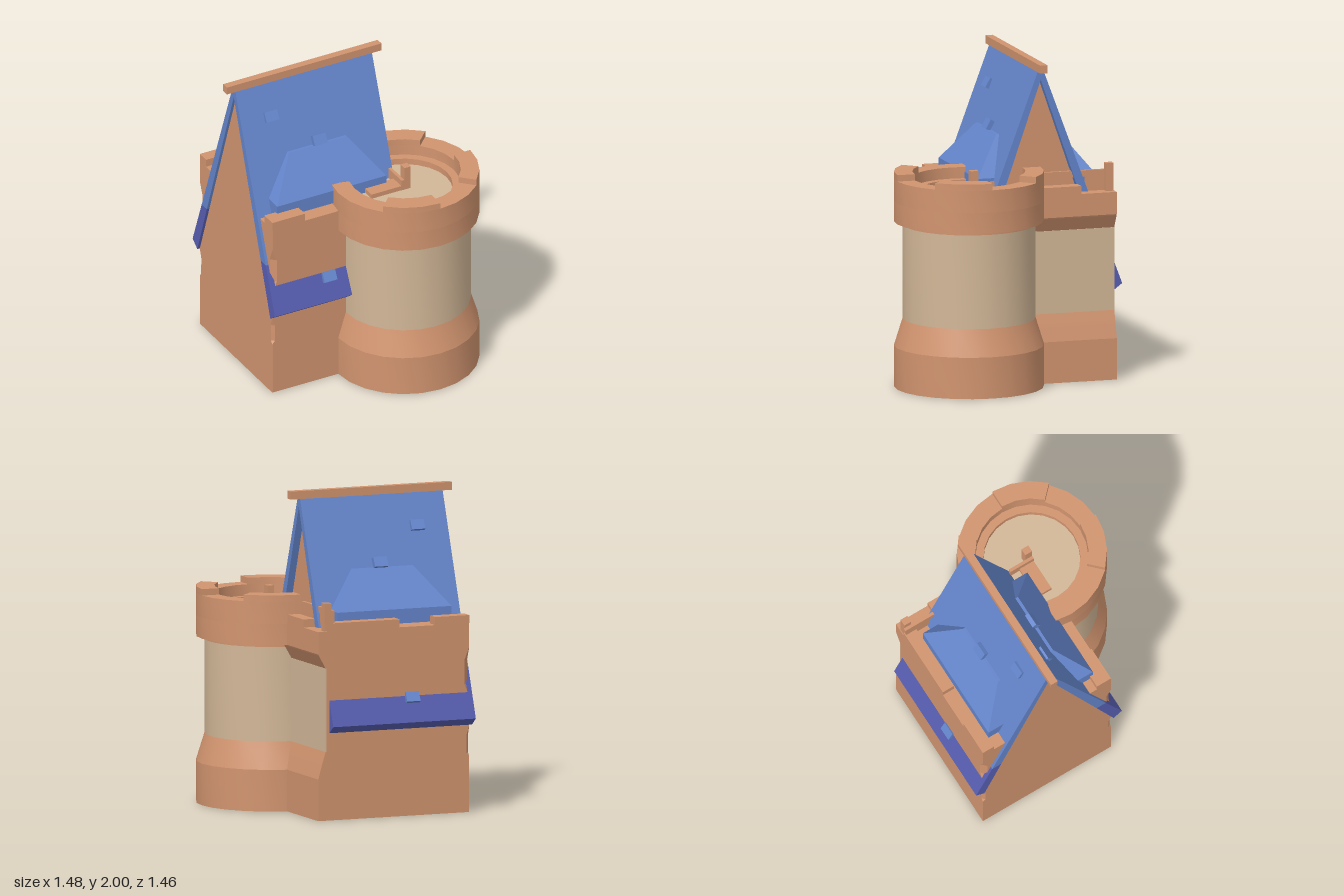
import * as THREE from 'three';
import { toCreasedNormals } from 'three/addons/utils/BufferGeometryUtils.js';
import { ConvexGeometry } from 'three/addons/geometries/ConvexGeometry.js';

const RIDGE_Z = -0.2;
const TOWER = [0.27, 0.263];
const rad = THREE.MathUtils.degToRad;

function mat(name, color) {
  const m = new THREE.MeshStandardMaterial({ color });
  m.name = name;
  return m;
}

export function createModel() {
  const root = new THREE.Group();
  root.name = 'castleKeep';
  const clay = mat('clay', 0xd1946f);
  const sand = mat('sand', 0xd2b797);
  const blue = mat('roofBlue', 0x6485cb);
  const indigo = mat('eaveIndigo', 0x575eb0);

  function add(name, geo, material) {
    const m = new THREE.Mesh(geo, material);
    m.name = name;
    root.add(m);
    return m;
  }
  // Box from its min and max corners
  function box(name, x0, x1, y0, y1, z0, z1, material = clay) {
    const g = new THREE.BoxGeometry(x1 - x0, y1 - y0, z1 - z0);
    g.translate((x0 + x1) / 2, (y0 + y1) / 2, (z0 + z1) / 2);
    return add(name, g, material);
  }
  // Profile of [offset from ridge, y] points, extruded along x
  function prism(name, pts, x0, x1, material) {
    const shape = new THREE.Shape(pts.map(p => new THREE.Vector2(...p)));
    const g = new THREE.ExtrudeGeometry(shape, { depth: x1 - x0, bevelEnabled: false });
    g.rotateY(Math.PI / 2).translate(x0, 0, RIDGE_Z);
    return add(name, g, material);
  }

  // Main block: lofted loops with nicked left corners and a flared right wall
  const levels = [ // y, corner nick, right wall x
    [0, 0.001, 0.36], [0.26, 0.001, 0.36], [0.35, 0.001, 0.335], [0.37, 0.018, 0.329],
    [0.43, 0.018, 0.31], [0.48, 0.02, 0.31], [0.54, 0.001, 0.31], [0.72, 0.001, 0.31],
    [0.8, 0.033, 0.31], [0.95, 0.033, 0.31], [1.03, 0.001, 0.355], [1.04, 0.001, 0.36],
    [1.18, 0.001, 0.36],
  ];
  const L = -0.66, F = 0.263, B = -0.67;
  const loops = levels.map(([y, c, r]) => [
    [L + c, y, F], [r, y, F], [r, y, B], [L + c, y, B], [L, y, B + c], [L, y, F - c],
  ]);
  const pos = [];
  const tri = (a, b, c) => pos.push(...a, ...b, ...c);
  for (let l = 0; l < loops.length - 1; l++) {
    for (let i = 0; i < 6; i++) {
      const j = (i + 1) % 6, lo = loops[l], hi = loops[l + 1];
      tri(lo[i], lo[j], hi[j]);
      tri(lo[i], hi[j], hi[i]);
    }
  }
  const top = loops[loops.length - 1];
  for (let i = 1; i < 5; i++) {
    tri(top[0], top[i], top[i + 1]);
    tri(loops[0][0], loops[0][i + 1], loops[0][i]);
  }
  const block = new THREE.BufferGeometry();
  block.setAttribute('position', new THREE.Float32BufferAttribute(pos, 3));
  block.computeVertexNormals();
  add('keepBlock', block, clay);
  box('rightWallPanel', 0.306, 0.313, 0.43, 0.95, B - 0.001, F, sand);

  // Block battlements
  box('frontMerlon', L, -0.43, 1.18, 1.23, 0.16, F);
  box('frontMerlon', 0.04, 0.27, 1.18, 1.23, 0.16, F);
  box('backMerlon', L, -0.43, 1.18, 1.23, B, -0.59);
  box('backMerlon', -0.19, 0.27, 1.18, 1.23, B, -0.59);
  box('rightMerlon', 0.28, 0.36, 1.18, 1.23, -0.44, -0.2);
  box('rightRail', 0.25, 0.27, 1.27, 1.31, B, -0.2);
  for (const s of [-1, 1]) {
    const mid = RIDGE_Z + s * 0.44;
    box('cornerPost', 0.27, 0.315, 1.18, 1.355, mid - 0.025, mid + 0.025);
    box('cornerRail', 0.25, 0.27, 1.18, 1.27, RIDGE_Z + s * 0.38 - 0.085, RIDGE_Z + s * 0.38 + 0.085);
  }

  // Gable between the roof panels
  prism('gable', [[-0.25, 1.18], [0.25, 1.18], [0, 1.9]], L, 0.24, clay);

  for (const s of [-1, 1]) {
    // Steep roof panel, running down through the block to low eaves
    const side = pts => pts.map(([u, y]) => [u * s, y]);
    prism('roofPanel', side([[0, 1.9], [0, 1.97], [0.02, 1.95], [0.413, 0.9], [0.347, 0.9]]), -0.678, 0.285, blue);
    prism('roofEave', side([[0.347, 0.9], [0.413, 0.9], [0.53, 0.59], [0.47, 0.545]]), -0.678, 0.285, indigo);

    // Hipped lower roof
    const hip = [];
    for (const [xo, xi] of [[-0.58, -0.4], [0.19, 0.01]]) {
      for (const [x, y, u] of [
        [xo, 1.19, 0.38], [xo, 1.19, 0.2], [xo, 1.28, 0.38],
        [xo, 1.28, 0.25], [xi, 1.52, 0.2], [xi, 1.52, 0.12],
      ]) hip.push(new THREE.Vector3(x, y, RIDGE_Z + s * u));
    }
    add('hippedRoof', new ConvexGeometry(hip), blue);

    // Raised shingles
    for (const [x, y, u] of [[-0.47, 1.755, 0.098], [-0.18, 1.55, 0.19], [-0.27, 0.74, 0.48]]) {
      const chip = add('shingle', new THREE.BoxGeometry(0.09, 0.065, 0.03), blue);
      chip.position.set(x, y, RIDGE_Z + s * u);
      chip.rotation.x = -s * 0.5;
    }
  }
  box('ridgeBeam', -0.74, 0.35, 1.95, 2, -0.224, -0.176);

  // Round tower
  function lathe(name, pts, material) {
    const g = new THREE.LatheGeometry(pts.map(p => new THREE.Vector2(...p)), 24);
    g.translate(TOWER[0], 0, TOWER[1]);
    add(name, toCreasedNormals(g, 0.29), material);
  }
  lathe('towerBase', [[0, 0], [0.465, 0], [0.465, 0.26], [0.412, 0.43]], clay);
  lathe('towerShaft', [[0.412, 0.43], [0.412, 1.02]], sand);
  lathe('towerCornice', [[0.412, 1.02], [0.412, 1.04], [0.465, 1.04], [0.465, 1.17], [0, 1.17]], clay);
  lathe('towerFloor', [[0.33, 1.17], [0.33, 1.2], [0, 1.2]], sand);

  // Ring segment of the tower; angles run from the front towards +x
  function arc(name, r0, r1, y0, y1, a0, a1) {
    const n = Math.max(1, Math.round((a1 - a0) / 15));
    const pts = [];
    for (let i = 0; i <= n; i++) {
      const a = rad(a0 + (a1 - a0) * i / n - 90);
      pts.push(new THREE.Vector2(r1 * Math.cos(a), r1 * Math.sin(a)));
      pts.unshift(new THREE.Vector2(r0 * Math.cos(a), r0 * Math.sin(a)));
    }
    const g = new THREE.ExtrudeGeometry(new THREE.Shape(pts), { depth: y1 - y0, bevelEnabled: false });
    g.rotateX(-Math.PI / 2).translate(TOWER[0], y0, TOWER[1]);
    add(name, toCreasedNormals(g, 0.29), clay);
  }
  arc('towerParapet', 0.35, 0.465, 1.17, 1.31, -105, 180);
  arc('towerWalk', 0.3, 0.35, 1.17, 1.24, -105, 180);
  for (const a of [-45, 45, 135]) arc('towerMerlon', 0.35, 0.465, 1.31, 1.35, a, a + 45);

  return root;
}
